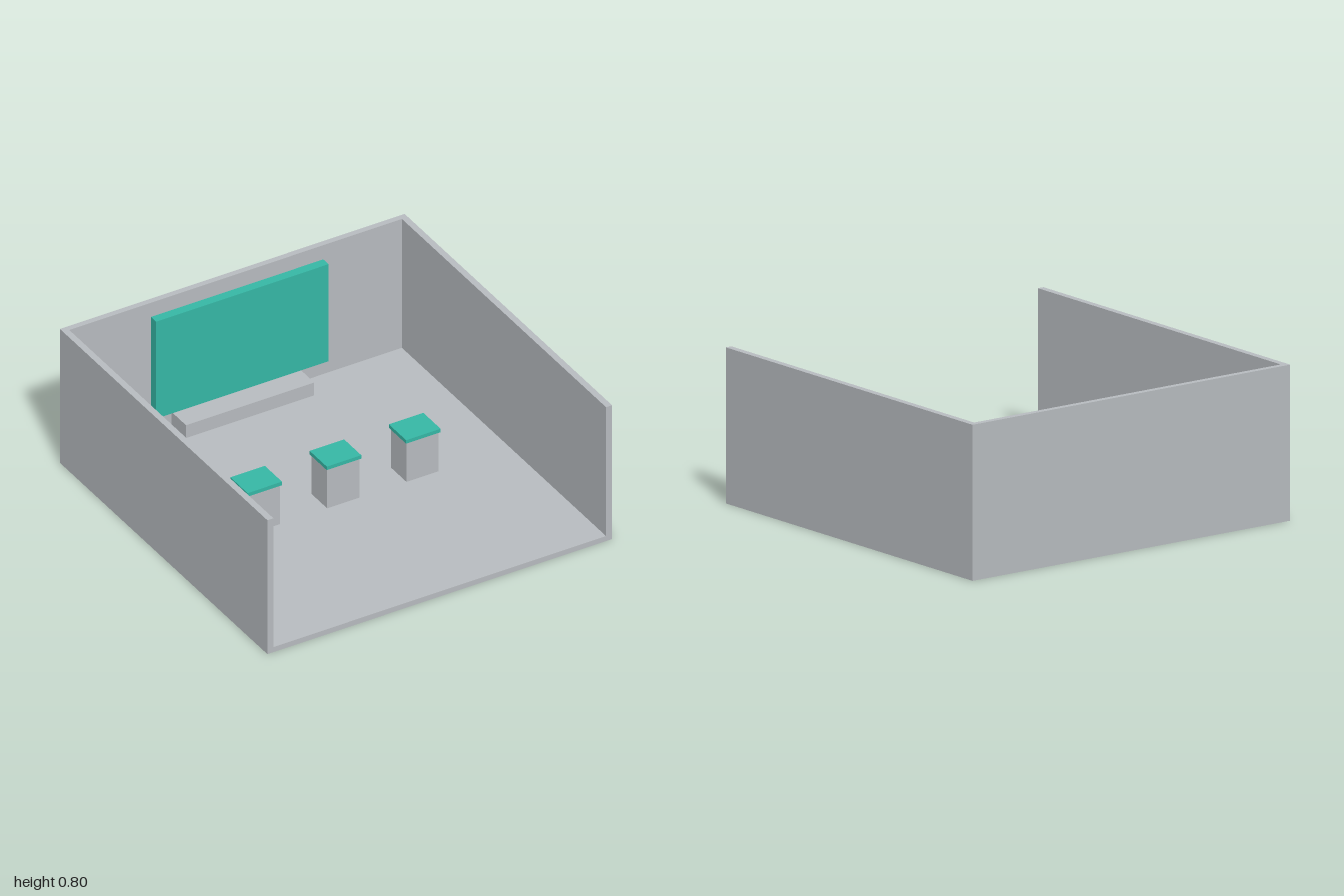
import * as THREE from 'three';

export function createModel() {
  const model = new THREE.Group();
  const gray = new THREE.MeshStandardMaterial({ color: 0xb8bcc0 });
  gray.name = 'light gray';
  const teal = new THREE.MeshStandardMaterial({ color: 0x36b8a6 });
  teal.name = 'teal';

  // box from its lower and upper corners
  const box = (name, material, [x0, y0, z0], [x1, y1, z1], parent = model) => {
    const geometry = new THREE.BoxGeometry(x1 - x0, y1 - y0, z1 - z0);
    const mesh = new THREE.Mesh(geometry, material);
    mesh.position.set((x0 + x1) / 2, (y0 + y1) / 2, (z0 + z1) / 2);
    mesh.name = name;
    parent.add(mesh);
  };

  // room shell, open at the front and top: one U profile plus the back wall
  const wall = 0.035, floor = 0.03, height = 0.8, back = -0.968;
  const profile = new THREE.Shape([
    [-1, 0], [1, 0], [1, height], [1 - wall, height],
    [1 - wall, floor], [wall - 1, floor], [wall - 1, height], [-1, height],
  ].map(([x, y]) => new THREE.Vector2(x, y)));
  const shell = new THREE.Mesh(
    new THREE.ExtrudeGeometry(profile, { depth: 2, bevelEnabled: false }), gray);
  shell.position.z = -1;
  shell.name = 'floorAndSideWalls';
  model.add(shell);
  box('backWall', gray, [wall - 1, floor, -1], [1 - wall, height, back]);

  // display panel above a low ledge
  box('screen', teal, [-0.5, 0.147, -0.953], [0.5, 0.727, -0.903]);
  box('ledge', gray, [-0.372, floor, back], [0.372, 0.107, -0.828]);

  // row of pedestals with overhanging tops
  for (const x of [-0.46, 0, 0.46]) {
    const pedestal = new THREE.Group();
    pedestal.name = 'pedestal';
    pedestal.position.x = x - 0.002;
    box('pedestalBase', gray, [-0.093, floor, -0.077], [0.093, 0.265, 0.073], pedestal);
    box('pedestalTop', teal, [-0.1, 0.265, -0.085], [0.1, 0.286, 0.081], pedestal);
    model.add(pedestal);
  }
  return model;
}
